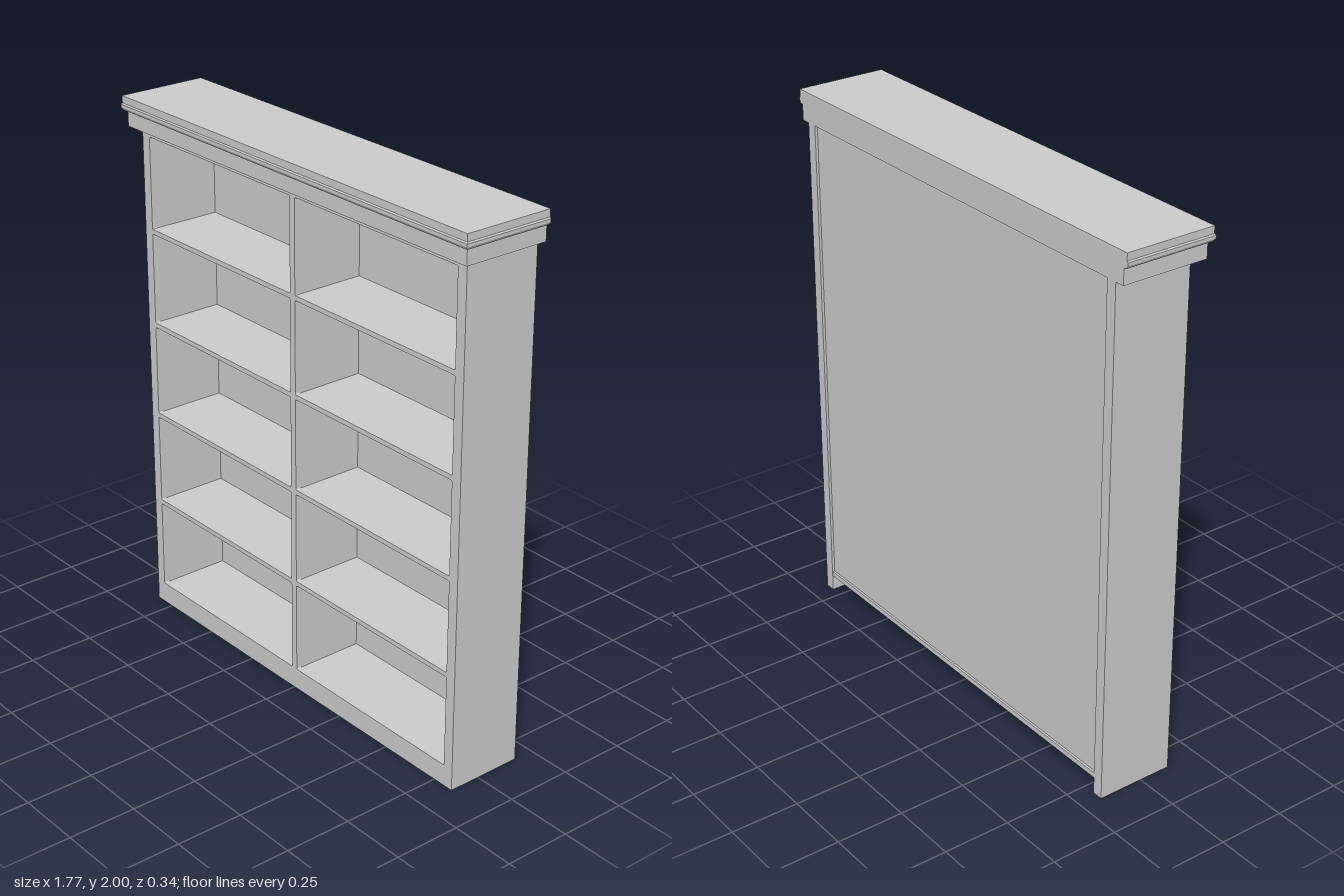
import * as THREE from 'three';

const grey = new THREE.MeshStandardMaterial({ color: 0xcccccc, flatShading: true });

const BACK = -0.172, FRONT = 0.12, HALF = 0.835; // carcass extents
const INNER = 0.795, DIVIDER = 0.013;            // opening edges in x
const ROWS = 5, FIRST = 0.08, PITCH = 0.36, OPEN = 0.342;
const BODY_TOP = 1.89, FRAME = 0.02, PANEL = -0.158;

function add(group, name, geometry) {
  const mesh = new THREE.Mesh(geometry, grey);
  mesh.name = name;
  group.add(mesh);
  return mesh;
}

// Box given by its two extreme corners
function box(group, name, [x0, y0, z0], [x1, y1, z1]) {
  const mesh = add(group, name, new THREE.BoxGeometry(x1 - x0, y1 - y0, z1 - z0));
  mesh.position.set((x0 + x1) / 2, (y0 + y1) / 2, (z0 + z1) / 2);
  return mesh;
}

function roundedHole(x0, y0, x1, y1, r) {
  const p = new THREE.Path();
  p.moveTo(x0 + r, y0);
  p.lineTo(x1 - r, y0).quadraticCurveTo(x1, y0, x1, y0 + r);
  p.lineTo(x1, y1 - r).quadraticCurveTo(x1, y1, x1 - r, y1);
  p.lineTo(x0 + r, y1).quadraticCurveTo(x0, y1, x0, y1 - r);
  p.lineTo(x0, y0 + r).quadraticCurveTo(x0, y0, x0 + r, y0);
  return p;
}

// Mitred moulding: an [overhang, y] profile, bottom to top, with a flat back
function mouldingGeometry(profile) {
  const pos = [], index = [];
  for (const [o, y] of profile) {
    const w = HALF + o, f = FRONT + o;
    pos.push(-w, y, f, w, y, f, w, y, BACK, -w, y, BACK);
  }
  const last = (profile.length - 1) * 4;
  for (let k = 0; k < last; k += 4) {
    for (let i = 0; i < 4; i++) {
      const a = k + i, b = k + (i + 1) % 4;
      index.push(a, b, b + 4, a, b + 4, a + 4);
    }
  }
  index.push(0, 2, 1, 0, 3, 2, last, last + 1, last + 2, last, last + 2, last + 3);
  const g = new THREE.BufferGeometry();
  g.setAttribute('position', new THREE.Float32BufferAttribute(pos, 3));
  g.setIndex(index);
  const flat = g.toNonIndexed();
  flat.computeVertexNormals();
  return flat;
}

export function createModel() {
  const model = new THREE.Group();
  model.name = 'bookcase';

  // Face frame with ten softly cornered openings
  const face = new THREE.Shape();
  face.moveTo(-HALF, 0);
  face.lineTo(HALF, 0).lineTo(HALF, BODY_TOP).lineTo(-HALF, BODY_TOP).closePath();
  for (let r = 0; r < ROWS; r++) {
    const y = FIRST + r * PITCH;
    face.holes.push(roundedHole(-INNER, y, -DIVIDER, y + OPEN, 0.006));
    face.holes.push(roundedHole(DIVIDER, y, INNER, y + OPEN, 0.006));
  }
  const frame = add(model, 'faceFrame',
    new THREE.ExtrudeGeometry(face, { depth: FRAME, bevelEnabled: false, curveSegments: 3 }));
  frame.position.z = FRONT - FRAME;

  // Side panels, centre divider and recessed back
  const inside = FRONT - FRAME;
  box(model, 'leftSide', [INNER, 0, BACK], [HALF, BODY_TOP, inside]);
  box(model, 'rightSide', [-HALF, 0, BACK], [-INNER, BODY_TOP, inside]);
  box(model, 'divider', [-DIVIDER, FIRST, PANEL], [DIVIDER, BODY_TOP, inside]);
  box(model, 'backPanel', [-INNER, FIRST, PANEL - 0.004], [INNER, BODY_TOP, PANEL]);

  // Bottom board, open underneath, reaching slightly past the back panel
  box(model, 'bottomBoard', [-INNER, FIRST - 0.02, BACK + 0.002], [INNER, FIRST, inside]);

  // Shelves line up with the frame rails
  for (let r = 1; r < ROWS; r++) {
    const top = FIRST + r * PITCH;
    for (const [x0, x1] of [[-INNER, -DIVIDER], [DIVIDER, INNER]]) {
      box(model, 'shelf', [x0, top - (PITCH - OPEN), PANEL], [x1, top, inside]);
    }
  }
  box(model, 'topBoard', [-INNER, FIRST + (ROWS - 1) * PITCH + OPEN, PANEL], [INNER, BODY_TOP, inside]);

  // Stepped cornice
  add(model, 'lowerCornice', mouldingGeometry([[0.035, BODY_TOP], [0.035, 1.948]]));
  add(model, 'upperCornice', mouldingGeometry([
    [0.045, 1.948], [0.052, 1.958], [0.052, 1.969], [0.048, 1.974], [0.048, 2],
  ]));
  return model;
}
